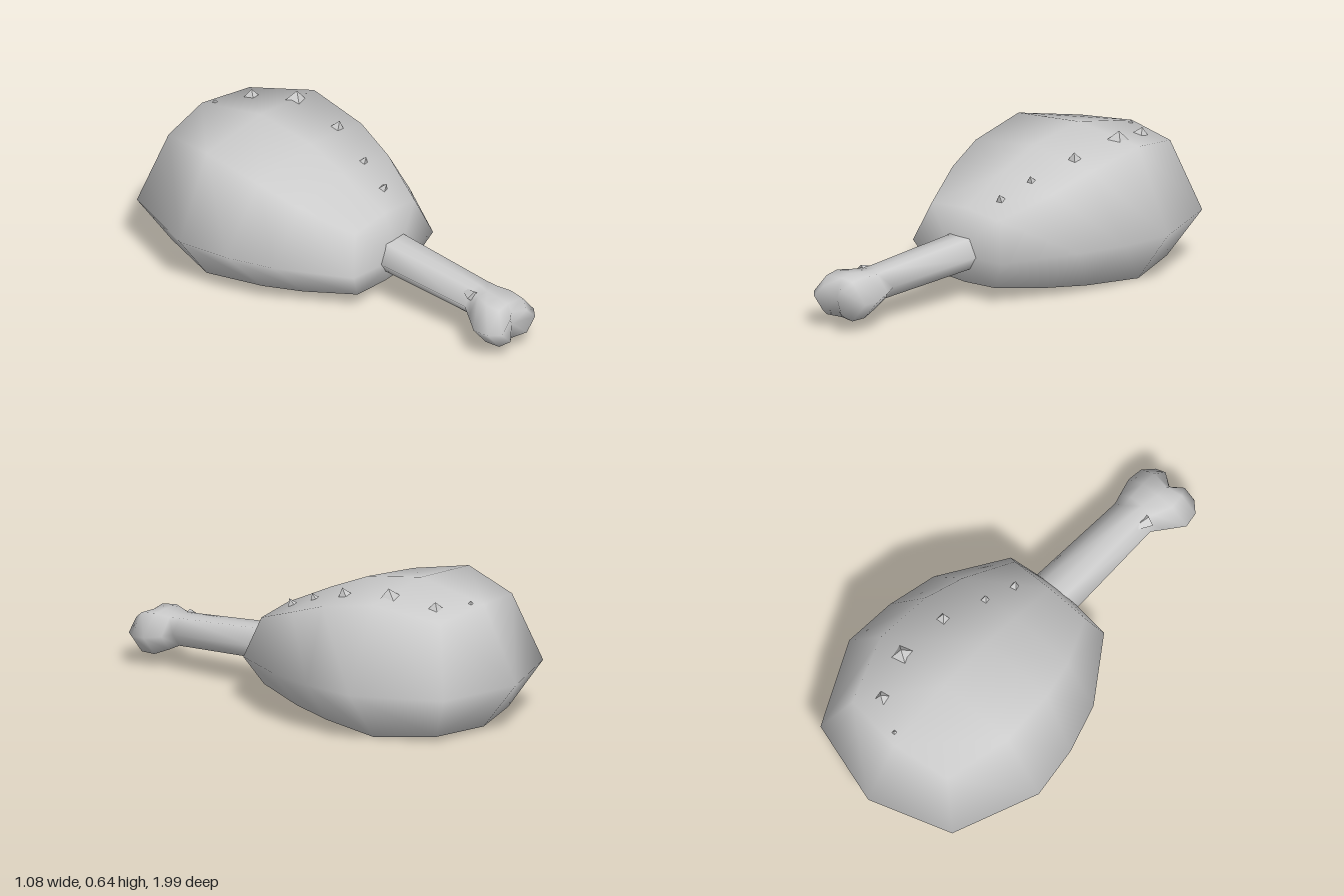
import * as THREE from 'three';

const grey = new THREE.MeshStandardMaterial({ color: 0xcccccc, side: THREE.DoubleSide });
grey.name = 'lightGrey';

// Skin rings of points (back to front, counter-clockwise seen from the front).
// frontCap and backCap are optional fans: the hub first, then extra rim points.
function loft(rings, closed, frontCap, backCap) {
  const n = rings[0].length, pos = rings.flat(), index = [];
  const steps = closed ? n : n - 1;
  for (let i = 0; i < rings.length - 1; i++) {
    for (let j = 0; j < steps; j++) {
      const a = i * n + j, b = i * n + (j + 1) % n;
      index.push(a, b, b + n, a, b + n, a + n);
    }
  }
  const fan = (cap, start, flip) => {
    if (!cap) return;
    const hub = pos.length;
    pos.push(...cap);
    const rim = Array.from({ length: n }, (_, j) => start + j);
    for (let k = 1; k < cap.length; k++) rim.push(hub + k);
    rim.forEach((p, j) => {
      const q = rim[(j + 1) % rim.length];
      index.push(hub, ...(flip ? [q, p] : [p, q]));
    });
  };
  fan(frontCap, (rings.length - 1) * n, false);
  fan(backCap, 0, true);
  const geo = new THREE.BufferGeometry();
  geo.setAttribute('position', new THREE.Float32BufferAttribute(pos.flat(), 3));
  geo.setIndex(index);
  geo.computeVertexNormals();
  return geo;
}

function add(group, name, geo) {
  const mesh = new THREE.Mesh(geo, grey);
  mesh.name = name;
  group.add(mesh);
  return mesh;
}

// Hollow shell, open underneath: rim, side, shoulder and ridge point per section
function meatGeometry() {
  const sections = [
    [[0.27, 0.03, -0.77], [0.375, 0.235, -0.88], [0.27, 0.545, -0.79], [0, 0.57, -0.83]],
    [[0.36, 0.005, -0.5], [0.54, 0.235, -0.5], [0.36, 0.598, -0.5], [0, 0.635, -0.5]],
    [[0.32, 0.025, -0.22], [0.515, 0.235, -0.26], [0.345, 0.54, -0.22], [0, 0.59, -0.22]],
    [[0.27, 0.045, -0.03], [0.455, 0.235, -0.04], [0.3, 0.47, -0.03], [0, 0.51, -0.03]],
    [[0.18, 0.075, 0.2], [0.265, 0.21, 0.25], [0.2, 0.38, 0.2], [0, 0.4, 0.2]],
  ];
  const rings = sections.map((s) => [
    ...s, ...s.slice(0, 3).reverse().map(([x, y, z]) => [-x, y, z]),
  ]);
  return loft(rings, false,
    [[0, 0.21, 0.28], [0, 0.065, 0.2]],
    [[0, 0.235, -1], [0, 0.02, -0.83]]);
}

// Shaft and two-lobed knuckle in one skin: z, centre x, centre y, half width, half height, notch
function boneGeometry() {
  const outline = [[1, 0], [0.5, 1], [0, 1], [-0.5, 1], [-1, 0], [-0.5, -1], [0, -1], [0.5, -1]];
  const sections = [
    [0.05, 0.015, 0.23, 0.12, 0.07, 0],
    [0.27, 0.013, 0.213, 0.115, 0.068, 0],
    [0.74, -0.005, 0.18, 0.1, 0.062, 0],
    [0.79, -0.015, 0.165, 0.125, 0.072, 0],
    [0.87, -0.035, 0.15, 0.165, 0.092, 0],
    [0.94, -0.035, 0.145, 0.155, 0.088, 0.015],
    [0.985, -0.035, 0.143, 0.11, 0.055, 0.04],
  ];
  const rings = sections.map(([z, cx, cy, w, h, notch]) => outline.map(([u, v]) => [
    cx + u * w, cy + v * h, z - (u === 0 ? notch : 0),
  ]));
  return loft(rings, true, [[-0.04, 0.143, 0.95]]);
}

export function createModel() {
  const group = new THREE.Group();
  group.name = 'drumstick';

  add(group, 'meat', meatGeometry());
  add(group, 'bone', boneGeometry());

  // Small torn flap on top of the bone, behind the knuckle
  const flap = add(group, 'boneFlap', new THREE.ConeGeometry(0.05, 0.12, 4).toNonIndexed());
  flap.geometry.computeVertexNormals();
  flap.scale.set(0.7, 1, 0.5);
  flap.rotation.set(-Math.PI / 2, 0, -0.3);
  flap.position.set(-0.055, 0.225, 0.71);

  // Pyramid bumps along the shoulder: x, y, z, radius, height, pitch
  const bumps = [
    [0.035, 0.57, -0.785, 0.03, 0.035, -0.15],
    [0.18, 0.575, -0.7, 0.062, 0.06, -0.15],
    [0.24, 0.615, -0.5, 0.068, 0.06, 0],
    [0.22, 0.57, -0.25, 0.048, 0.06, 0.25],
    [0.155, 0.495, -0.05, 0.04, 0.06, 0.4],
    [0.115, 0.44, 0.1, 0.032, 0.05, 0.5],
  ];
  bumps.forEach(([x, y, z, r, h, pitch], i) => {
    const geo = new THREE.ConeGeometry(r, h, 4).toNonIndexed();
    geo.rotateY(Math.PI / 4 + 0.1 * (i % 3));
    geo.computeVertexNormals();
    const bump = add(group, 'bump', geo);
    bump.position.set(x, y, z);
    bump.rotation.set(pitch, 0, -0.15);
  });

  return group;
}
